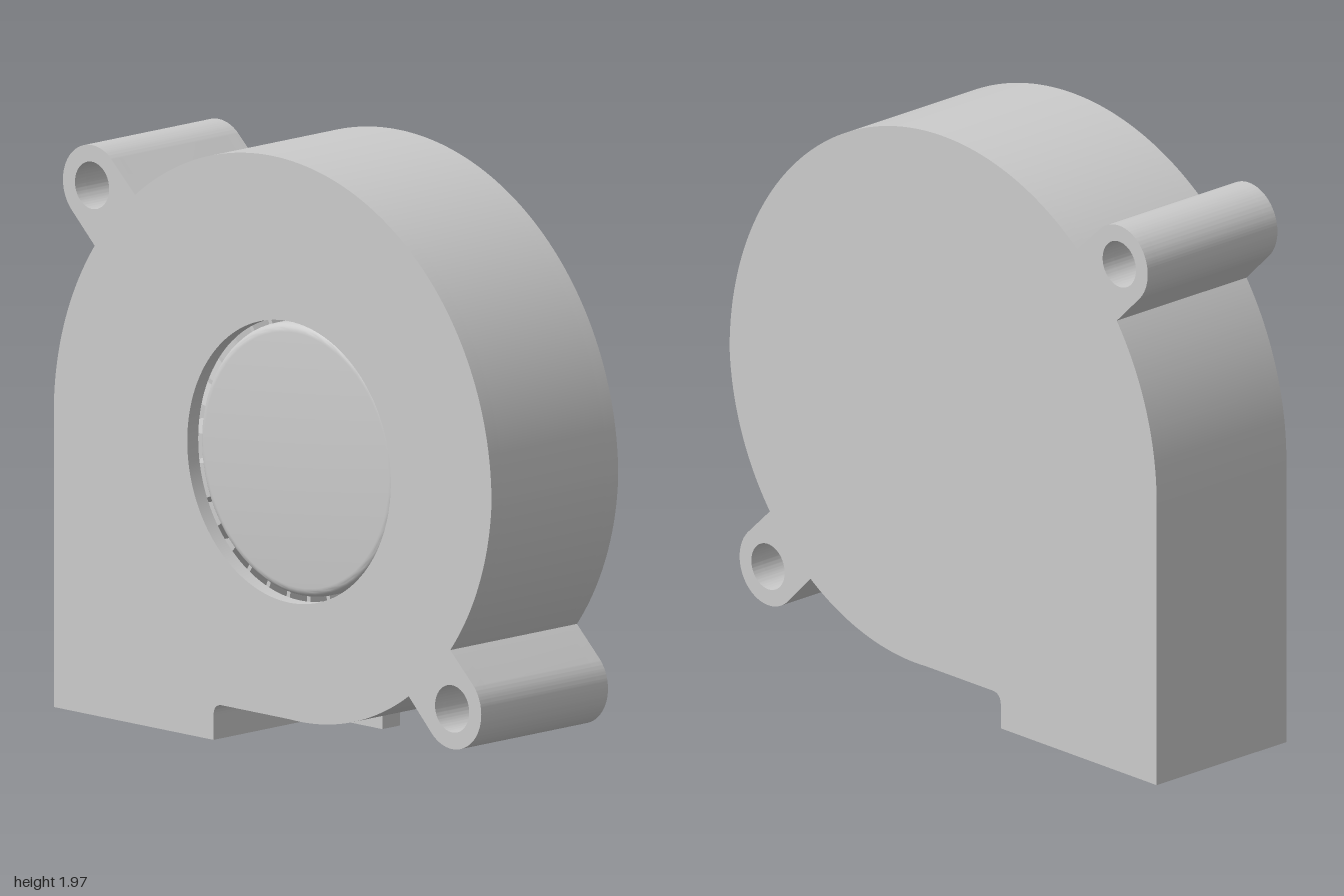
import * as THREE from 'three';
import { toCreasedNormals } from 'three/addons/utils/BufferGeometryUtils.js';

const CY = 0.97;              // height of the rotor axis
const HALF = 0.29;            // half the depth of the housing
const WALL = 0.05;
const HUB_X = 0.075;
const BOSSES = [[-0.825, 1.75], [0.82, 0.265]];

const material = new THREE.MeshStandardMaterial({ color: 0xcccccc, side: THREE.DoubleSide });

function add(group, name, geometry) {
  const mesh = new THREE.Mesh(geometry, material);
  mesh.name = name;
  group.add(mesh);
  return mesh;
}

// Point on the lower right spiral of the housing, angle in degrees (-90 to 0)
function spiral(deg, inset = 0) {
  const r = 0.92 + 0.07 * deg / 90 - inset;
  const a = THREE.MathUtils.degToRad(deg);
  return [0.08 + r * Math.cos(a), CY + r * Math.sin(a)];
}

function spiralTo(path, from, to, inset = 0) {
  for (let i = 0; i <= 24; i++) path.lineTo(...spiral(from + (to - from) * i / 24, inset));
}

function circleHole(x, y, r) {
  return new THREE.Path().absarc(x, y, r, 0, Math.PI * 2, true);
}

// Outer contour, counter-clockwise from the outlet, with both screw ears
function outline() {
  const s = new THREE.Shape();
  s.moveTo(-1, 0);
  s.lineTo(-0.27, 0);
  s.lineTo(-0.27, 0.08);
  s.quadraticCurveTo(-0.27, 0.12, -0.23, 0.12);
  spiralTo(s, -90, -52);
  s.absarc(...BOSSES[1], 0.133, -Math.PI * 0.75, Math.PI * 0.25, false);
  spiralTo(s, -35, 0);
  s.absarc(0, CY, 1, 0, Math.atan2(0.78, -0.63), false);
  s.absarc(...BOSSES[0], 0.133, Math.PI * 0.25, Math.PI * 1.25, false);
  s.absarc(0, CY, 1, Math.atan2(0.58, -0.81), Math.PI, false);
  return s;
}

function withEarHoles(shape) {
  for (const [x, y] of BOSSES) shape.holes.push(circleHole(x, y, 0.078));
  return shape;
}

function extrude(shape, z, depth) {
  const g = new THREE.ExtrudeGeometry(shape, { depth, bevelEnabled: false, curveSegments: 64 });
  return toCreasedNormals(g.translate(0, 0, z), 0.5);
}

export function createModel() {
  const model = new THREE.Group();
  model.name = 'blowerFan';

  // Housing: back plate, front plate with inlet, and a side wall open at the outlet
  add(model, 'backPlate', extrude(withEarHoles(outline()), -HALF, WALL));

  const front = withEarHoles(outline());
  front.holes.push(circleHole(HUB_X, CY, 0.465));
  add(model, 'frontPlate', extrude(front, HALF - WALL, WALL));

  const wall = new THREE.Shape(outline().getPoints(64));
  wall.lineTo(-1, 0);
  wall.lineTo(-1 + WALL, 0);
  wall.absarc(0, CY, 1 - WALL, Math.PI, 0, true);
  spiralTo(wall, 0, -90, WALL);
  wall.lineTo(-0.27 - WALL, 0.12 + WALL);
  wall.lineTo(-0.27 - WALL, 0);
  wall.lineTo(-0.27, 0);
  add(model, 'sideWall', extrude(withEarHoles(wall), -HALF + WALL, 2 * (HALF - WALL)));

  // Small tab under the housing
  add(model, 'bottomTab', new THREE.BoxGeometry(0.32, 0.075, 0.08)).position.set(0.055, 0.1025, -0.037);

  // Impeller: round-edged hub, base disc and a ring of blades
  const impeller = new THREE.Group();
  impeller.name = 'impeller';
  impeller.position.set(HUB_X, CY, 0);
  model.add(impeller);

  const profile = [new THREE.Vector2(0.45, -0.23)];
  for (let i = 0; i <= 6; i++) {
    const a = i / 6 * Math.PI / 2;
    profile.push(new THREE.Vector2(0.42 + 0.03 * Math.cos(a), 0.225 + 0.03 * Math.sin(a)));
  }
  profile.push(new THREE.Vector2(0, 0.255));
  const hub = new THREE.LatheGeometry(profile, 72).rotateX(Math.PI / 2);
  add(impeller, 'hub', toCreasedNormals(hub, 0.5));

  const disc = new THREE.CylinderGeometry(0.66, 0.66, 0.03, 72).rotateX(Math.PI / 2);
  add(impeller, 'baseDisc', disc).position.z = -0.2;

  const COUNT = 32;
  for (let i = 0; i < COUNT; i++) {
    const blade = new THREE.BoxGeometry(0.22, 0.015, 0.4);
    blade.translate(0.55, 0, 0).rotateZ(i / COUNT * Math.PI * 2);
    add(impeller, 'blade', blade);
  }
  return model;
}
